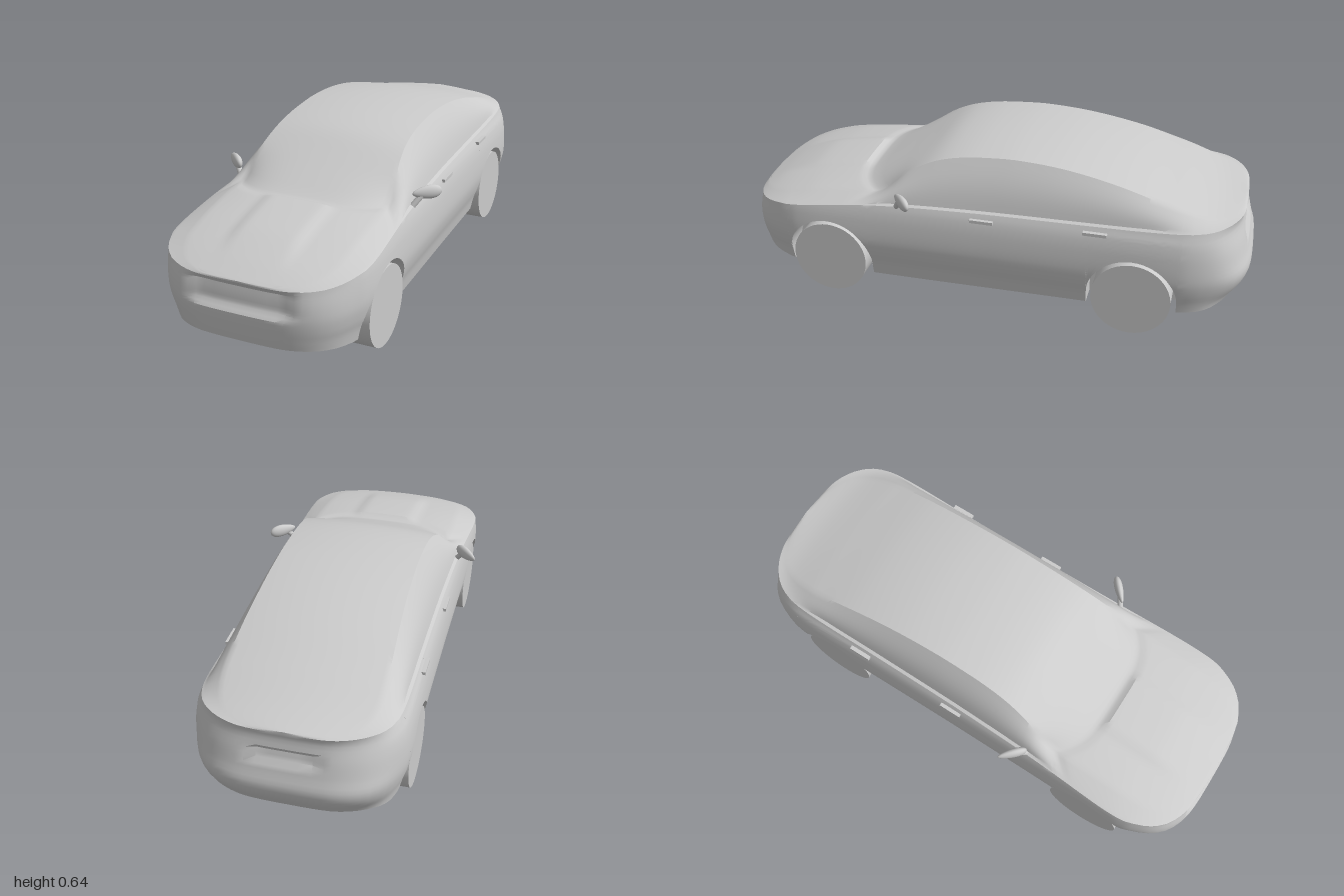
import * as THREE from 'three';
import { toCreasedNormals } from 'three/addons/utils/BufferGeometryUtils.js';

const { smoothstep, lerp } = THREE.MathUtils;
const WHEEL_R = 0.15, ARCH_R = 0.17, AXLES = [0.625, -0.575], WELL_X = 0.27;

// Smooth function through [x, y] points sorted by x
function curve(pts) {
  const n = pts.length - 1;
  const slope = (i) => {
    const a = pts[Math.max(i - 1, 0)], b = pts[Math.min(i + 1, n)];
    return (b[1] - a[1]) / (b[0] - a[0]);
  };
  return (x) => {
    if (x <= pts[0][0]) return pts[0][1];
    if (x >= pts[n][0]) return pts[n][1];
    let i = 0;
    while (x > pts[i + 1][0]) i++;
    const h = pts[i + 1][0] - pts[i][0], t = (x - pts[i][0]) / h, u = 1 - t;
    return pts[i][1] * u * u * (1 + 2 * t) + pts[i + 1][1] * t * t * (3 - 2 * t)
      + h * t * u * (u * slope(i) - t * slope(i + 1));
  };
}

// Lengthwise curves: floor, shoulder line, roof rail and centreline
const floorY = curve([[-1, 0.13], [-0.75, 0.105], [-0.4, 0.095], [0.46, 0.085], [0.8, 0.1], [1, 0.118]]);
const shoulderY = curve([[-1, 0.457], [-0.8, 0.447], [-0.5, 0.435], [0, 0.425], [0.3, 0.415], [0.5, 0.402],
  [0.7, 0.378], [0.9, 0.352], [1, 0.335]]);
const centreY = curve([[-1, 0.465], [-0.95, 0.467], [-0.85, 0.485], [-0.7, 0.53], [-0.5, 0.587], [-0.3, 0.623],
  [-0.12, 0.635], [0, 0.632], [0.1, 0.622], [0.2, 0.6], [0.3, 0.553], [0.4, 0.503], [0.52, 0.446],
  [0.55, 0.449], [0.7, 0.427], [0.8, 0.406], [0.9, 0.378], [0.96, 0.353], [1, 0.335]]);
const railY = curve([[-1, 0.457], [-0.85, 0.467], [-0.7, 0.51], [-0.5, 0.568], [-0.3, 0.606], [-0.12, 0.62],
  [0, 0.616], [0.1, 0.606], [0.2, 0.583], [0.3, 0.54], [0.4, 0.488], [0.52, 0.436], [0.56, 0.436],
  [0.7, 0.412], [0.8, 0.388], [0.9, 0.363], [1, 0.335]]);
const railX = curve([[-1, 0.28], [-0.7, 0.285], [-0.3, 0.27], [0, 0.266], [0.2, 0.272], [0.45, 0.3], [0.6, 0.3], [1, 0.28]]);
// Upright curves: half-width, nose and tail positions by height
const widthAt = curve([[0.085, 0.35], [0.15, 0.364], [0.19, 0.377], [0.25, 0.388], [0.34, 0.385], [0.4, 0.374], [0.43, 0.361], [0.46, 0.35]]);
const noseAt = curve([[0.1, 0.982], [0.15, 0.992], [0.22, 1], [0.28, 0.997], [0.34, 0.985]]);
const tailAt = curve([[0.13, 0.95], [0.2, 0.99], [0.25, 1], [0.3, 0.985], [0.36, 0.97], [0.43, 0.952], [0.46, 0.96]]);
const planX = curve([[0, 0.382], [0.4, 0.384], [0.65, 0.388], [0.75, 0.385], [0.8, 0.377]]);

// Plan outline from nose centre around the left side to the tail, then mirrored
function makeStations() {
  const end = [[0, 1], [0.05, 1], [0.1, 0.999], [0.14, 0.997], [0.17, 0.994], [0.2, 0.988], [0.23, 0.979],
    [0.26, 0.966], [0.29, 0.947], [0.315, 0.922], [0.335, 0.895], [0.352, 0.862], [0.367, 0.825]];
  const half = end.map(([x, z]) => ({ x, z }));
  const side = (z, arch) => half.push({ x: planX(Math.abs(z)), z, arch });
  AXLES.forEach((axle, k) => {
    side(axle + ARCH_R);
    for (let i = 0; i <= 28; i++) {
      const a = Math.PI * i / 28;
      side(axle + ARCH_R * Math.cos(a), WHEEL_R + ARCH_R * Math.sin(a));
    }
    side(axle - ARCH_R);
    if (k === 0) for (let z = 0.42; z > -0.39; z -= 0.035) side(z);
  });
  side(-0.78);
  end.slice().reverse().forEach(([x, z]) => half.push({ x, z: -z }));
  const mirrored = half.slice(1, -1).reverse().map((s) => ({ ...s, x: -s.x }));
  return [...half, ...mirrored];
}

// Point of the side skin at a station and height, with grille and tail recesses
function skin(s, y) {
  const x = s.x * widthAt(y) / 0.388, ax = Math.abs(x);
  const f = smoothstep(Math.abs(s.z), 0.8, 0.98);
  let z = s.z;
  if (z > 0) {
    z += f * (noseAt(y) - 1);
    if (z > 0.9) z -= 0.022 * (1 - smoothstep(ax, 0.15, 0.225)) * smoothstep(y, 0.225, 0.255) * (1 - smoothstep(y, 0.315, 0.335));
  } else {
    z -= f * (tailAt(y) - 1);
    if (z < -0.9) z += 0.014 * (1 - smoothstep(ax, 0.1, 0.145)) * smoothstep(y, 0.325, 0.34) * (1 - smoothstep(y, 0.375, 0.395));
  }
  return [x, y, z];
}

const bottomY = (s) => s.arch ?? floorY(s.z);

// Cross-section from sill over shoulder and side window to the centreline
function shellSection(s) {
  const pts = [], sign = Math.sign(s.x);
  const y0 = bottomY(s), ys = shoulderY(s.z);
  for (let i = 0; i <= 20; i++) pts.push(skin(s, lerp(y0, ys, i / 20)));
  const [bx, , z] = pts[20], xs = Math.abs(bx);
  const xr = Math.min(railX(z), xs * 0.8), yr = Math.max(railY(z), ys), yc = Math.max(centreY(z), yr);
  // Bowed base of the windscreen
  const bow = 0.1 * Math.exp(-(((z - 0.52) / 0.15) ** 2));
  const shift = (x) => bow * (x / 0.31) ** 4;
  // Side window, set in above a small ledge
  const win = smoothstep(yr - ys, 0.02, 0.1);
  for (let i = 0; i <= 7; i++) {
    const t = i / 7;
    const x = lerp(xs - 0.012 * win, xr, t) + 0.012 * win * Math.sin(Math.PI * t);
    const y = lerp(ys + 0.006 * win, yr, t);
    if (i) pts.push([sign * x, y, z - shift(xr) * t]);
    else pts.push([sign * x, y, z]);
  }
  // Bonnet, screen, roof and tail lid, with a raised bonnet centre
  const bulge = 0.01 * smoothstep(z, 0.525, 0.55) * (1 - smoothstep(z, 0.75, 0.93));
  for (let i = 1; i <= 16; i++) {
    const x = xr * (1 - i / 16), q = x / (xr || 1);
    const y = yr + (yc - yr) * (1 - q * q) + bulge * (1 - smoothstep(x, 0.1, 0.15));
    pts.push([sign * x, y, z - shift(x)]);
  }
  return pts;
}

// Flat floor, wheel well wall and well roof
function underSection(s) {
  const [x, y, z] = skin(s, bottomY(s)), fy = floorY(s.z);
  const inner = Math.sign(x) * Math.min(WELL_X, Math.abs(x));
  return [[0, fy, z], [inner, fy, z], [inner, y, z], [x, y, z]];
}

// Closed loft through a ring of sections
function loft(sections, crease) {
  const rows = sections[0].length, n = sections.length, index = [];
  for (let i = 0; i < n; i++) for (let j = 0; j < rows - 1; j++) {
    const a = i * rows + j, b = ((i + 1) % n) * rows + j;
    index.push(a, b, b + 1, a, b + 1, a + 1);
  }
  const g = new THREE.BufferGeometry();
  g.setAttribute('position', new THREE.Float32BufferAttribute(sections.flat(2), 3));
  g.setIndex(index);
  return toCreasedNormals(g, crease);
}

export function createModel() {
  const model = new THREE.Group();
  const grey = new THREE.MeshStandardMaterial({ color: 0xcccccc, side: THREE.DoubleSide });
  const add = (name, geometry, parent = model) => {
    const m = new THREE.Mesh(geometry, grey);
    m.name = name;
    parent.add(m);
    return m;
  };

  const stations = makeStations();
  add('bodyShell', loft(stations.map(shellSection), 0.6));
  add('underbody', loft(stations.map(underSection), 0.5));

  for (const [side, sx] of [['left', 1], ['right', -1]]) {
    // Wheels
    AXLES.forEach((z, k) => {
      const wheel = add(side + (k ? 'RearWheel' : 'FrontWheel'), new THREE.CylinderGeometry(WHEEL_R, WHEEL_R, 0.093, 48));
      wheel.rotation.z = Math.PI / 2;
      wheel.position.set(sx * 0.3315, WHEEL_R, z);
    });
    // Door handles
    [[0, 0.4], [-0.43, 0.41]].forEach(([z, y], k) => {
      const handle = add(side + (k ? 'RearDoorHandle' : 'FrontDoorHandle'), new THREE.BoxGeometry(0.016, 0.012, 0.09));
      handle.position.set(sx * 0.372, y, z);
    });
    // Door mirror: swept-back housing on a short stalk
    const mirror = new THREE.Group();
    mirror.name = side + 'Mirror';
    model.add(mirror);
    const shape = new THREE.SphereGeometry(1, 28, 18);
    const p = shape.attributes.position;
    for (let i = 0; i < p.count; i++) {
      const taper = 0.8 + 0.22 * p.getX(i);
      p.setXYZ(i, p.getX(i) * 0.058, p.getY(i) * 0.032 * taper, p.getZ(i) * 0.02 * taper);
    }
    shape.computeVertexNormals();
    const housing = add('mirrorHousing', shape, mirror);
    housing.rotation.y = sx * Math.PI / 4.2;
    housing.position.set(sx * 0.4, 0.459, 0.303);
    const stalk = new THREE.LineCurve3(new THREE.Vector3(sx * 0.35, 0.4, 0.345), new THREE.Vector3(sx * 0.385, 0.45, 0.318));
    add('mirrorStalk', new THREE.TubeGeometry(stalk, 1, 0.011, 12), mirror);
  }
  return model;
}
